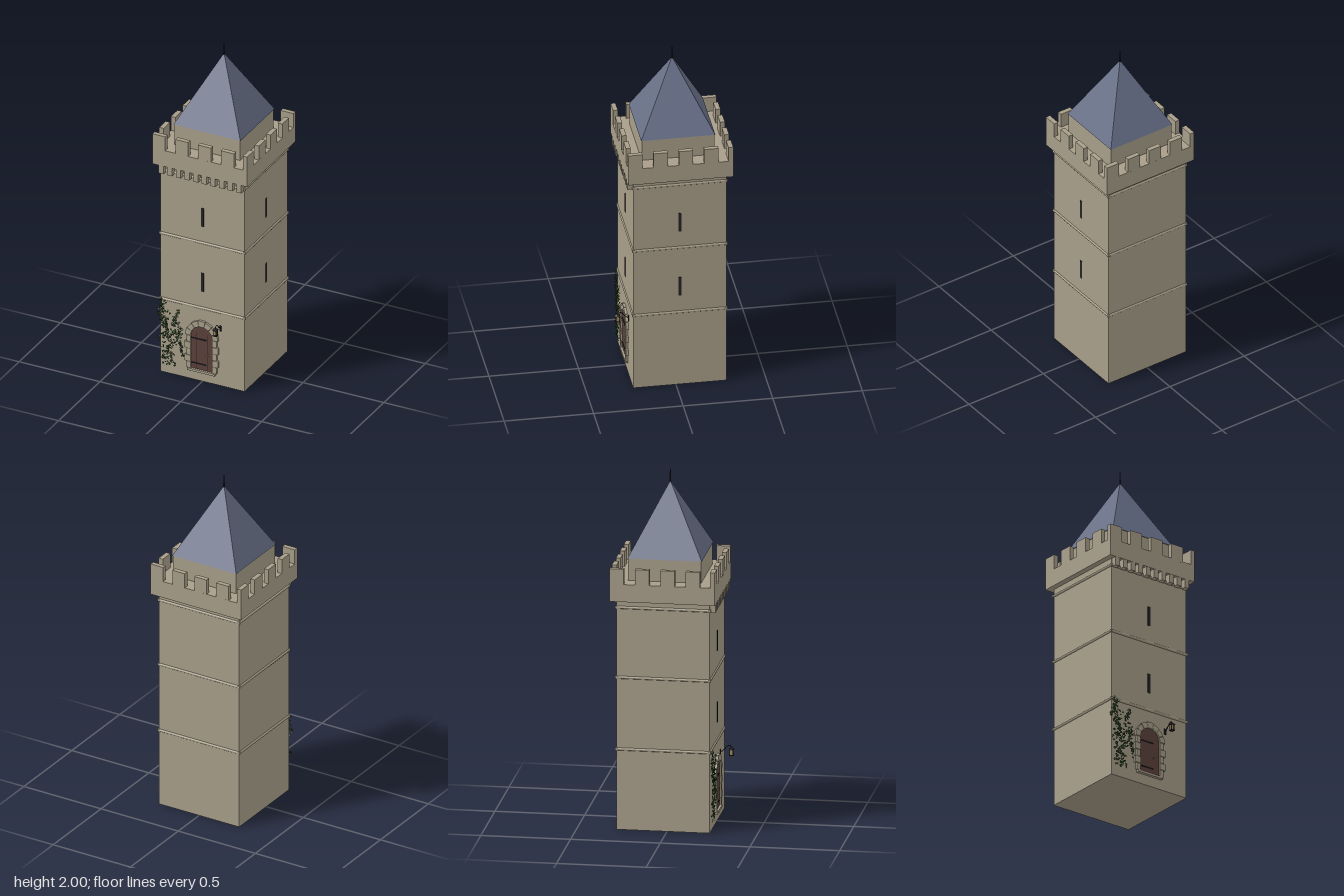
import * as THREE from 'three';
import { mergeGeometries } from 'three/addons/utils/BufferGeometryUtils.js';

const paint = (name, color, extra = {}) => Object.assign(new THREE.MeshStandardMaterial({ color, ...extra }), { name });

export function createModel() {
  const stone = paint('stone', 0xa89e89);
  const slate = paint('slate', 0x687088, { flatShading: true });
  const wood = paint('door wood', 0x5a403a);
  const iron = paint('black iron', 0x1c1c1f);
  const shadow = paint('slit dark', 0x232323);
  const brass = paint('brass', 0xa08a5c);
  const leaf = paint('ivy leaf', 0x2c4a24, { side: THREE.DoubleSide });

  const model = new THREE.Group();
  model.name = 'watchtower';
  const tower = new THREE.Group();
  tower.name = 'tower';
  tower.position.z = -0.022; // the lantern reaches forward, so the tower sits back
  model.add(tower);

  let seed = 7;
  const rand = () => ((seed = (seed * 16807) % 2147483647) / 2147483647);

  const add = (name, geo, mat, x = 0, y = 0, z = 0, parent = tower) => {
    const m = new THREE.Mesh(geo, mat);
    m.name = name;
    m.position.set(x, y, z);
    parent.add(m);
    return m;
  };
  const box = (name, w, h, d, mat, x, y, z, parent) => add(name, new THREE.BoxGeometry(w, h, d), mat, x, y, z, parent);

  const H = 0.26;   // half width of the shaft
  const P = 0.293;  // half width of the parapet

  // Shaft, parapet and upper room
  box('shaft', 2 * H, 1.32, 2 * H, stone, 0, 0.66, 0);
  box('parapet', 2 * P, 0.1, 2 * P, stone, 0, 1.36, 0);
  box('upperRoom', 0.406, 0.13, 0.406, stone, 0, 1.475, 0);

  // Roof and finial
  const roof = new THREE.ConeGeometry(0.207 * Math.SQRT2, 0.4, 4);
  roof.rotateY(Math.PI / 4);
  add('roof', roof, slate, 0, 1.735, 0);
  add('finial', new THREE.CylinderGeometry(0.003, 0.005, 0.08, 8), iron, 0, 1.96, 0);

  // Each side: merlons running from its left corner, and round string courses
  for (let side = 0; side < 4; side++) {
    const wall = new THREE.Group();
    wall.name = 'side' + (side + 1);
    wall.rotation.y = side * Math.PI / 2;
    tower.add(wall);
    for (let i = 0; i < 4; i++) {
      const m = box('merlon', 0.079, 0.095, 0.027, stone, -P + 0.0395 + i * 0.1415, 1.45, P - 0.0135, wall);
      m.rotation.y = i ? (rand() - 0.5) * 0.02 : 0;
    }
    for (const y of [0.46, 0.87, 1.27]) {
      const roll = new THREE.CylinderGeometry(0.008, 0.008, 2 * H + 0.012, 10);
      roll.rotateZ(Math.PI / 2);
      add('stringCourse', roll, stone, 0, y, H - 0.001, wall);
    }
  }

  // Corbels under the front parapet
  for (let i = 0; i < 10; i++) {
    box('corbel', 0.03, 0.055, 0.032, stone, (i - 4.5) * 0.0535, 1.2875, H + 0.016);
  }

  // Arrow slits on the front and the left wall
  for (const y of [0.622, 1.03]) {
    box('frontSlit', 0.017, 0.116, 0.006, shadow, 0, y, H);
    box('sideSlit', 0.006, 0.116, 0.017, shadow, H, y, 0);
  }

  // Doorway
  const doorway = new THREE.Group();
  doorway.name = 'doorway';
  doorway.position.z = H;
  tower.add(doorway);
  const R = 0.069, spring = 0.278;
  const arch = new THREE.Shape();
  arch.moveTo(-R, 0.072);
  arch.lineTo(R, 0.072);
  arch.lineTo(R, spring);
  arch.absarc(0, spring, R, 0, Math.PI);
  arch.closePath();
  add('door', new THREE.ExtrudeGeometry(arch, { depth: 0.005, bevelEnabled: false, curveSegments: 16 }), wood, 0, 0, 0, doorway);
  for (const x of [-0.035, 0, 0.035]) box('plankGap', 0.0015, 0.225, 0.001, shadow, x, 0.187, 0.0052, doorway);
  for (const y of [0.108, 0.263]) box('hingeStrap', 0.095, 0.007, 0.003, iron, -0.02, y, 0.0065, doorway);
  add('doorRing', new THREE.TorusGeometry(0.007, 0.0018, 6, 16), brass, 0.033, 0.175, 0.007, doorway);
  box('sill', 0.17, 0.014, 0.018, stone, 0, 0.066, 0.009, doorway);

  // Arch stones
  for (let i = 0; i < 7; i++) {
    const a = i * Math.PI / 7 + 0.01, b = (i + 1) * Math.PI / 7 - 0.01;
    const outer = i === 3 ? 0.104 : i % 2 ? 0.098 : 0.101;
    const s = new THREE.Shape();
    s.absarc(0, 0, outer, a, b, false);
    s.absarc(0, 0, R - 0.002, b, a, true);
    s.closePath();
    add('archStone', new THREE.ExtrudeGeometry(s, { depth: 0.014, bevelEnabled: false, curveSegments: 4 }), stone, 0, spring, 0, doorway);
  }
  // Jamb stones, alternately long and short
  for (const s of [-1, 1]) {
    for (let i = 0; i < 5; i++) {
      const w = i % 2 ? 0.036 : 0.026;
      box('jambStone', w, 0.039, i % 2 ? 0.016 : 0.013, stone, s * (R - 0.002 + w / 2), 0.093 + i * 0.041, 0.007, doorway);
    }
  }

  // Lantern on a curved bracket
  const lantern = new THREE.Group();
  lantern.name = 'lantern';
  lantern.position.set(0.112, 0, H);
  tower.add(lantern);
  const path = new THREE.CatmullRomCurve3([[0.36, 0], [0.378, 0.022], [0.397, 0.04], [0.402, 0.054], [0.392, 0.063]]
    .map(([y, z]) => new THREE.Vector3(0, y, z)));
  add('bracket', new THREE.TubeGeometry(path, 16, 0.0025, 6), iron, 0, 0, 0, lantern);
  box('wallPlate', 0.012, 0.035, 0.004, iron, 0, 0.36, 0.002, lantern);
  const cap = new THREE.ConeGeometry(0.02, 0.016, 4);
  cap.rotateY(Math.PI / 4);
  add('lanternCap', cap, iron, 0, 0.388, 0.063, lantern);
  box('lanternBase', 0.024, 0.005, 0.024, iron, 0, 0.347, 0.063, lantern);
  box('lanternGlass', 0.015, 0.032, 0.015, brass, 0, 0.364, 0.063, lantern);
  for (const x of [-1, 1]) for (const z of [-1, 1]) {
    box('lanternPost', 0.004, 0.032, 0.004, iron, x * 0.0085, 0.364, 0.063 + z * 0.0085, lantern);
  }

  // Ivy climbing in strands: [x at foot, x at top, bottom, top, spread, leaves]
  const leafShape = new THREE.Shape([[0, -0.009], [0.006, -0.001], [0, 0.009], [-0.006, -0.001]]
    .map(([x, y]) => new THREE.Vector2(x, y)));
  const leaves = [];
  for (const [x0, x1, y0, y1, spread, count] of [
    [-0.225, -0.25, 0.06, 0.47, 0.03, 110],
    [-0.19, -0.22, 0.06, 0.40, 0.03, 80],
    [-0.125, -0.155, 0.13, 0.42, 0.02, 60],
    [-0.18, -0.16, 0.18, 0.36, 0.02, 30],
  ]) {
    for (let i = 0; i < count; i++) {
      const t = rand();
      const x = x0 + (x1 - x0) * t + 0.008 * Math.sin(t * 14) + (rand() + rand() - 1) * spread;
      const g = new THREE.ShapeGeometry(leafShape);
      const k = 0.7 + rand() * 0.5;
      g.scale(k, k, k);
      g.rotateX((rand() - 0.5) * 1.2);
      g.rotateY((rand() - 0.5) * 1.4);
      g.rotateZ(rand() * Math.PI * 2);
      g.translate(Math.max(x, -0.272), y0 + (y1 - y0) * t, H + 0.008 + rand() * 0.01);
      leaves.push(g);
    }
  }
  add('ivy', mergeGeometries(leaves), leaf);

  return model;
}
